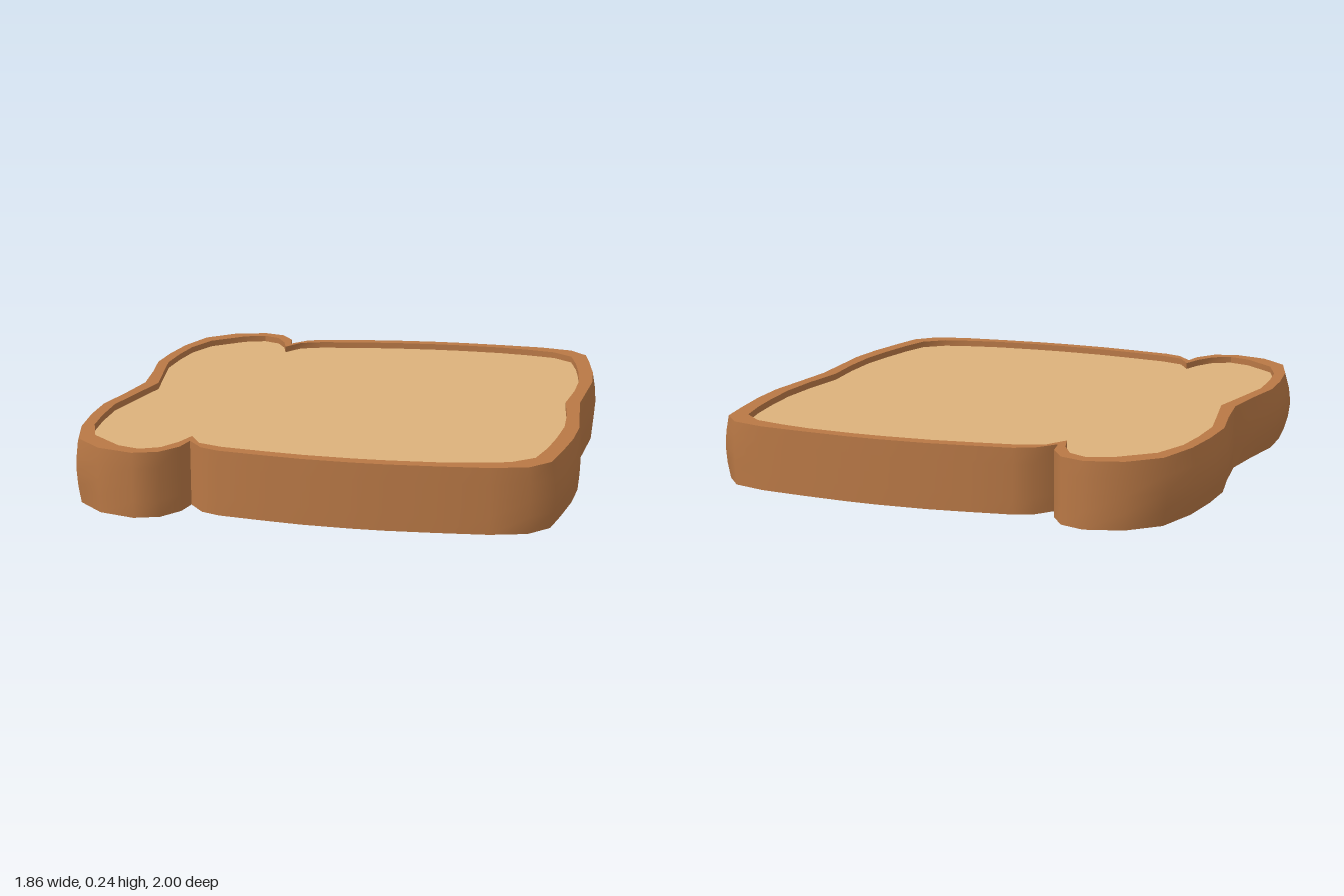
import * as THREE from 'three';
import { toCreasedNormals } from 'three/addons/utils/BufferGeometryUtils.js';

const HEIGHT = 0.24;
const RECESS = 0.025;

// Half outline of the crust, from the middle of the crown edge round to the base edge: [x, z, bulge in x]
const RIM = [
  [-0.86, 0, 0], [-0.885, 0.19, -0.02], [-0.915, 0.36, -0.02], [-0.91, 0.52, -0.025], [-0.89, 0.69, -0.025],
  [-0.84, 0.86, -0.015], [-0.735, 0.96, -0.005], [-0.6, 1, 0], [-0.51, 0.97, 0], [-0.455, 0.89, 0],
  [-0.44, 0.81, 0], [-0.38, 0.885, 0], [-0.31, 0.915, 0], [-0.15, 0.94, 0], [0, 0.96, 0], [0.18, 0.97, 0],
  [0.3, 0.97, 0], [0.48, 0.96, 0], [0.66, 0.945, 0], [0.79, 0.91, 0.005], [0.86, 0.83, 0.018],
  [0.885, 0.69, 0.018], [0.91, 0.52, 0.015], [0.92, 0.36, 0.008], [0.908, 0.19, 0.008], [0.895, 0, 0.01],
];

// Matching half outline of the soft middle: [x, z]
const INNER = [
  [-0.805, 0], [-0.84, 0.19], [-0.87, 0.36], [-0.865, 0.52], [-0.85, 0.66],
  [-0.8, 0.8], [-0.675, 0.915], [-0.59, 0.945], [-0.52, 0.91], [-0.475, 0.83],
  [-0.45, 0.745], [-0.4, 0.83], [-0.31, 0.865], [-0.15, 0.89], [0, 0.91], [0.18, 0.92],
  [0.3, 0.92], [0.48, 0.91], [0.6, 0.89], [0.72, 0.86], [0.8, 0.79],
  [0.83, 0.66], [0.85, 0.52], [0.865, 0.36], [0.86, 0.19], [0.84, 0],
];

// Mirrors a half outline across z = 0 into a closed loop
function mirrorLoop(half) {
  const back = half.slice(1, -1).reverse().map(([x, z, b]) => [x, -z, b]);
  return [...half, ...back];
}

// Skins a stack of equal-length rings
function loft(rings) {
  const n = rings[0].length;
  const index = [];
  for (let k = 0; k < rings.length - 1; k++) {
    for (let i = 0; i < n; i++) {
      const j = (i + 1) % n;
      const a = k * n + i, b = k * n + j, c = a + n, d = b + n;
      index.push(a, b, d, a, d, c);
    }
  }
  const geometry = new THREE.BufferGeometry();
  geometry.setAttribute('position', new THREE.Float32BufferAttribute(rings.flat(2), 3));
  geometry.setIndex(index);
  return toCreasedNormals(geometry, 0.75);
}

export function createModel() {
  const crustColour = new THREE.MeshStandardMaterial({ name: 'crust brown', color: 0xb97845 });
  const breadColour = new THREE.MeshStandardMaterial({ name: 'bread tan', color: 0xdcb27b });
  const group = new THREE.Group();
  group.name = 'breadSlice';

  const rim = mirrorLoop(RIM);
  const inner = mirrorLoop(INNER);
  const innerRing = (y) => inner.map(([x, z]) => [x, y, z]);
  const outerRing = (t, weight) => rim.map(([x, z, bulge]) => [x + bulge * weight, t * HEIGHT, z]);

  // Crust: bulging band with a raised lip on both sides
  const crust = new THREE.Mesh(loft([
    innerRing(RECESS), innerRing(0),
    outerRing(0, 0), outerRing(0.25, 0.7), outerRing(0.5, 1), outerRing(0.75, 0.7), outerRing(1, 0),
    innerRing(HEIGHT), innerRing(HEIGHT - RECESS),
  ]), crustColour);
  crust.name = 'crust';
  group.add(crust);

  // Soft middle: one recessed face above, one below
  const shape = new THREE.Shape(inner.map(([x, z]) => new THREE.Vector2(x, z)));
  for (const [name, side, y] of [['topBread', -1, HEIGHT - RECESS], ['bottomBread', 1, RECESS]]) {
    const face = new THREE.Mesh(new THREE.ShapeGeometry(shape).rotateX(side * Math.PI / 2), breadColour);
    face.name = name;
    face.position.y = y;
    group.add(face);
  }
  return group;
}
